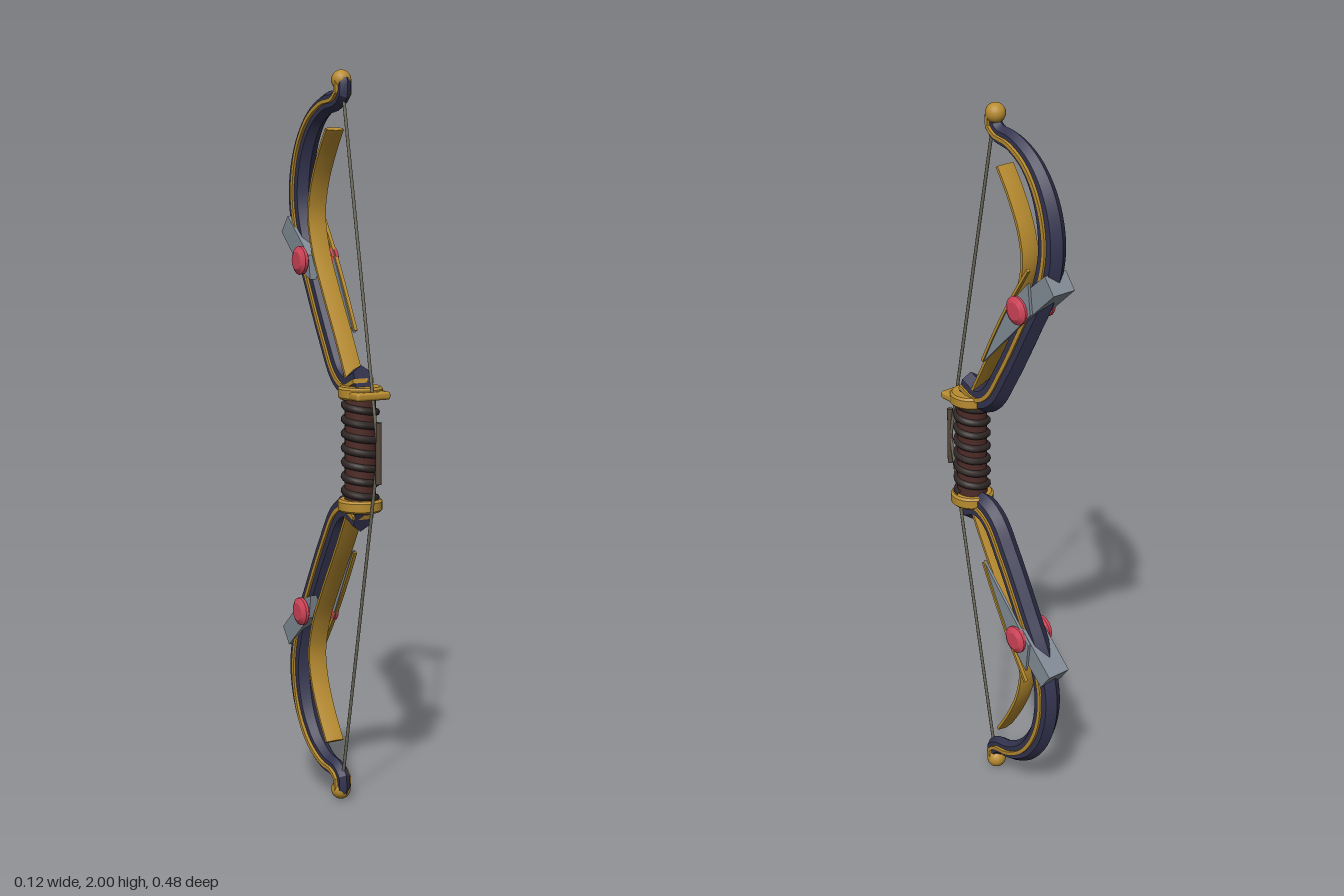
import * as THREE from 'three';
import { toCreasedNormals } from 'three/addons/utils/BufferGeometryUtils.js';
import { RoundedBoxGeometry } from 'three/addons/geometries/RoundedBoxGeometry.js';

const mat = (name, color) => Object.assign(new THREE.MeshStandardMaterial({ color }), { name });

// Sweep a closed section [x, normal] along a [z, y] path; taper(t) scales the section
function sweep(points, section, steps, taper = () => 1) {
  const curve = new THREE.CatmullRomCurve3(points.map(([z, y]) => new THREE.Vector3(0, y, z)));
  const pos = [], idx = [], n = section.length;
  for (let i = 0; i <= steps; i++) {
    const t = i / steps, p = curve.getPointAt(t), d = curve.getTangentAt(t), k = taper(t);
    for (const [a, b] of section) pos.push(a * k, p.y + d.z * b * k, p.z - d.y * b * k);
  }
  for (let i = 0; i < steps; i++) for (let j = 0; j < n; j++) {
    const a = i * n + j, b = i * n + (j + 1) % n;
    idx.push(a, b, b + n, a, b + n, a + n);
  }
  const e = steps * n;
  for (let j = 1; j < n - 1; j++) idx.push(0, j + 1, j, e, e + j, e + j + 1);
  const g = new THREE.BufferGeometry();
  g.setAttribute('position', new THREE.Float32BufferAttribute(pos, 3));
  g.setIndex(idx);
  return toCreasedNormals(g, 0.5);
}

// Plate with a [z, y] outline, centred at x
function plate(outline, width, x = 0) {
  const shape = new THREE.Shape(outline.map(([z, y]) => new THREE.Vector2(z, y)));
  return new THREE.ExtrudeGeometry(shape, { depth: width, bevelEnabled: false })
    .rotateY(-Math.PI / 2).translate(x + width / 2, 0, 0);
}

// Straight rod between two [z, y] points
function rod([z0, y0], [z1, y1], r) {
  const g = new THREE.CylinderGeometry(r, r, Math.hypot(z1 - z0, y1 - y0), 8);
  return g.rotateX(Math.atan2(z1 - z0, y1 - y0)).translate(0, (y0 + y1) / 2, (z0 + z1) / 2);
}

export function createModel() {
  const root = new THREE.Group();
  root.name = 'bow';
  const navy = mat('navy', 0x33334f), gold = mat('gold', 0xb88c30), steel = mat('steel', 0x828c96);
  const red = mat('red', 0xd04458), brown = mat('brown', 0x4e2c28), dark = mat('dark wrap', 0x2f2725);
  const cord = mat('cord', 0x6c695a), nock = mat('nock brown', 0x54463c);
  const add = (parent, name, geometry, material) => {
    const m = new THREE.Mesh(geometry, material);
    m.name = name;
    parent.add(m);
    return m;
  };

  const limbPath = [[0.15, 1.185], [0.09, 1.165], [0.04, 1.19], [-0.02, 1.28], [-0.1, 1.425], [-0.168, 1.56],
    [-0.19, 1.67], [-0.167, 1.785], [-0.11, 1.87], [-0.04, 1.912], [0.015, 1.922], [0.04, 1.945], [0.034, 1.975]];
  const ribbonPath = [[-0.005, 1.845], [-0.05, 1.775], [-0.09, 1.69], [-0.104, 1.61], [-0.08, 1.515],
    [-0.025, 1.41], [0.045, 1.29], [0.1, 1.19]].reverse();
  const limbSection = [[0.026, -0.024], [0.026, 0.024], [0, 0.042], [-0.026, 0.024], [-0.026, -0.024], [0, -0.042]];
  const trimSection = [[0.032, -0.006], [0.032, 0.006], [-0.032, 0.006], [-0.032, -0.006]];
  const ribbonSection = [[0.027, -0.004], [0.027, 0.004], [0, 0.008], [-0.027, 0.004], [-0.027, -0.004], [0, -0.008]];

  // One limb with its fittings; the lower one is the same turned half round
  function half(name, bladeSide) {
    const g = new THREE.Group();
    g.name = name;
    add(g, 'limb', sweep(limbPath, limbSection, 60, (t) => 1 - 0.35 * THREE.MathUtils.smoothstep(t, 0.6, 1)), navy);
    add(g, 'limbTrim', sweep(limbPath, trimSection, 60, (t) => 1 - 0.2 * THREE.MathUtils.smoothstep(t, 0.7, 1)), gold);
    add(g, 'innerRibbon', sweep(ribbonPath, ribbonSection, 32), gold);
    add(g, 'tipBall', new THREE.SphereGeometry(0.027, 20, 14), gold).position.set(0, 1.973, 0.031);

    // Steel clasp around the limb, with a tapering blade on one side
    add(g, 'clasp', plate([[-0.203, 1.607], [-0.238, 1.562], [-0.125, 1.458], [-0.075, 1.44], [-0.085, 1.505]], 0.072), steel);
    add(g, 'blade', plate([[-0.15, 1.575], [-0.16, 1.49], [-0.1, 1.43], [0.03, 1.3], [-0.07, 1.49]], 0.008, bladeSide * 0.042), steel);
    add(g, 'bladeEdge', sweep([[0.03, 1.305], [-0.02, 1.4], [-0.075, 1.495], [-0.15, 1.61]],
      [[0.005, -0.004], [0.005, 0.004], [-0.005, 0.004], [-0.005, -0.004]], 12), gold).position.x = bladeSide * 0.045;

    // Faceted gem on each side
    const gem = [[0, -0.013], [0.026, -0.013], [0.039, -0.005], [0.039, 0.004], [0.024, 0.013], [0, 0.013]];
    for (const s of [-1, 1]) {
      const m = add(g, 'gem', toCreasedNormals(
        new THREE.LatheGeometry(gem.map(([r, h]) => new THREE.Vector2(r, h)), 16), 0.4), red);
      m.position.set(s * 0.048, 1.49, -0.11);
      m.rotation.z = -s * Math.PI / 2;
    }

    // Collar at the end of the grip
    const collar = [[0, -0.017], [0.054, -0.017], [0.06, -0.011], [0.06, 0.011], [0.054, 0.017], [0, 0.017]];
    add(g, 'collar', toCreasedNormals(
      new THREE.LatheGeometry(collar.map(([r, h]) => new THREE.Vector2(r, h)), 32), 0.5), gold)
      .position.set(0, 1.152, 0.134);
    add(g, 'string', rod([0.045, 1.92], [0.228, 1], 0.0045), cord);
    root.add(g);
    return g;
  }
  half('upperHalf', 1);
  const lower = half('lowerHalf', -1);
  lower.rotation.z = Math.PI;
  lower.position.y = 2;

  // Arrow rest on the upper collar
  add(root, 'arrowRest', new RoundedBoxGeometry(0.104, 0.022, 0.06, 2, 0.008), gold).position.set(0, 1.148, 0.178);

  // Grip and its spiral wrap
  add(root, 'grip', new THREE.CylinderGeometry(0.042, 0.042, 0.29, 24), brown).position.set(0, 1, 0.134);
  const turns = 7, helix = [];
  for (let i = 0; i <= turns * 12; i++) {
    const a = i / 12 * Math.PI * 2;
    helix.push(new THREE.Vector3(Math.cos(a) * 0.042, 0.865 + 0.27 * i / (turns * 12), 0.134 + Math.sin(a) * 0.042));
  }
  add(root, 'gripWrap', new THREE.TubeGeometry(new THREE.CatmullRomCurve3(helix), turns * 24, 0.0105, 8), dark);

  // Serving at the middle of the string
  add(root, 'stringServing', new THREE.CylinderGeometry(0.008, 0.008, 0.165, 10), nock).position.set(0, 1, 0.23);
  return root;
}
